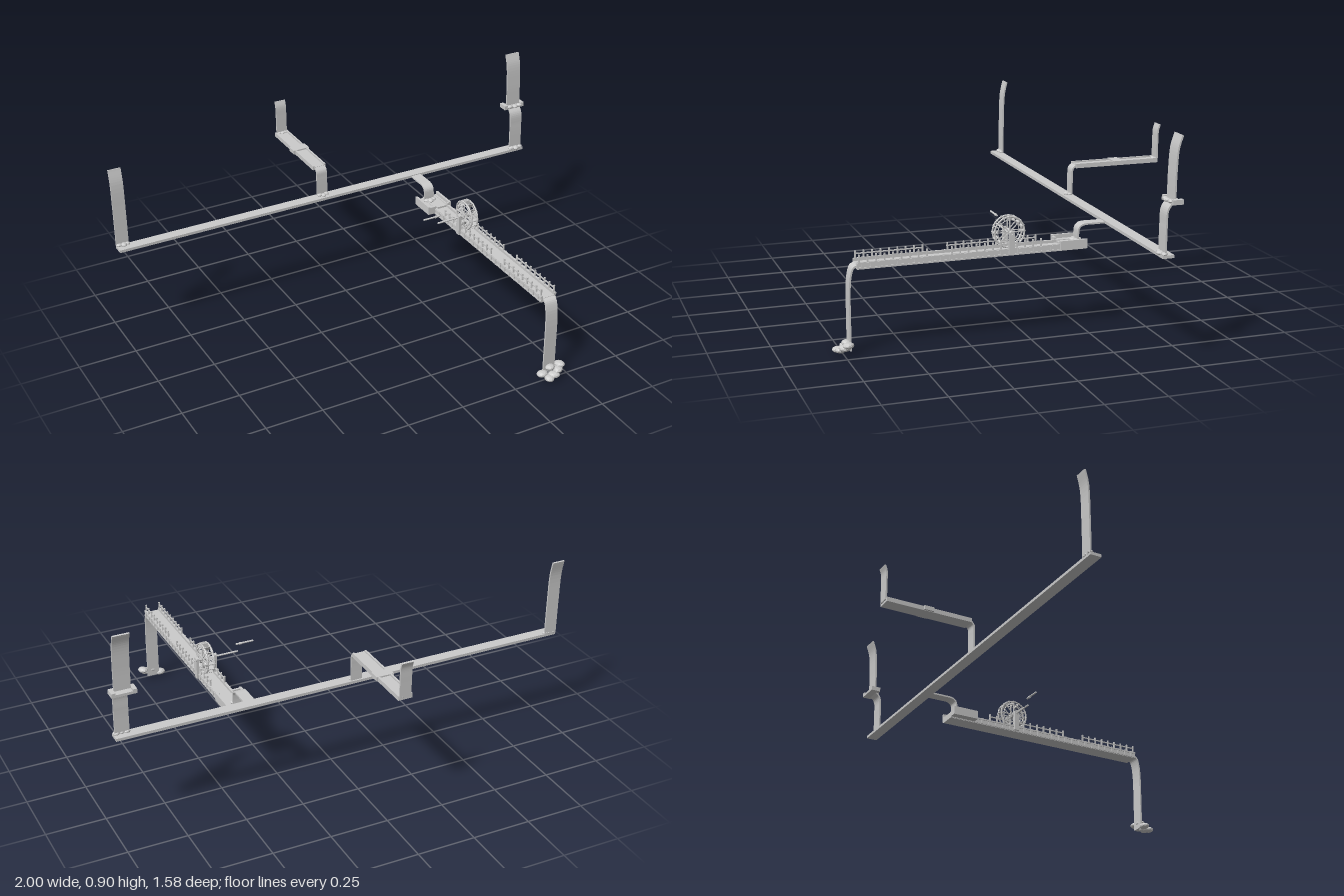
import * as THREE from 'three';

const mat = new THREE.MeshStandardMaterial({ color: 0xcccccc, flatShading: true, side: THREE.DoubleSide });

function add(parent, name, geometry, x = 0, y = 0, z = 0) {
  const mesh = new THREE.Mesh(geometry, mat);
  mesh.name = name;
  mesh.position.set(x, y, z);
  parent.add(mesh);
  return mesh;
}

// Box given by its limits on each axis
function slab(parent, name, x0, x1, y0, y1, z0, z1) {
  return add(parent, name, new THREE.BoxGeometry(x1 - x0, y1 - y0, z1 - z0),
    (x0 + x1) / 2, (y0 + y1) / 2, (z0 + z1) / 2);
}

// Sheet of water: a curve in the z-y plane, thickened and extruded along x
function sheet(parent, name, points, x0, x1, thickness = 0.007) {
  const curve = new THREE.CatmullRomCurve3(points.map(([z, y]) => new THREE.Vector3(0, y, z)), false, 'centripetal');
  const near = [], far = [];
  for (let i = 0; i <= 20; i++) {
    const p = curve.getPoint(i / 20), t = curve.getTangent(i / 20);
    const dz = -t.y * thickness / 2, dy = t.z * thickness / 2;
    near.push(new THREE.Vector2(-p.z - dz, p.y + dy));
    far.unshift(new THREE.Vector2(-p.z + dz, p.y - dy));
  }
  const geometry = new THREE.ExtrudeGeometry(new THREE.Shape([...near, ...far]), { depth: x1 - x0, bevelEnabled: false });
  geometry.rotateY(Math.PI / 2);
  return add(parent, name, geometry, x0);
}

// Cluster of flattened low-poly foam lumps: [x, y, z, radius]
function foam(parent, name, lumps) {
  const group = new THREE.Group();
  group.name = name;
  lumps.forEach(([x, y, z, r], i) => {
    const lump = add(group, 'foamLump', new THREE.IcosahedronGeometry(r, 1), x, y, z);
    lump.scale.set(1, 0.55, 0.85);
    lump.rotation.y = i * 1.3;
  });
  parent.add(group);
}

function group(parent, name) {
  const g = new THREE.Group();
  g.name = name;
  parent.add(g);
  return g;
}

function buildRiver(root) {
  const river = group(root, 'river');
  slab(river, 'mainStream', -1, 0.98, 0.435, 0.447, -0.387, -0.34);
  sheet(river, 'branchStream', [[-0.34, 0.44], [-0.29, 0.44], [-0.245, 0.438], [-0.229, 0.425], [-0.225, 0.4], [-0.225, 0.37]], 0.385, 0.432);

  // Falls feeding the river
  sheet(river, 'rightEndFall', [[-0.385, 0.445], [-0.387, 0.6], [-0.392, 0.73], [-0.405, 0.79]], -1, -0.945);
  sheet(river, 'leftUpperFall', [[-0.386, 0.655], [-0.388, 0.76], [-0.395, 0.85], [-0.41, 0.898]], 0.91, 0.978);
  sheet(river, 'leftLowerFall', [[-0.355, 0.445], [-0.356, 0.56], [-0.361, 0.62], [-0.385, 0.65]], 0.915, 0.975);
  slab(river, 'fallLedge', 0.893, 0.995, 0.641, 0.652, -0.412, -0.37);
  for (const [x0, x1] of [[0.893, 0.91], [0.978, 0.995]]) {
    slab(river, 'ledgeLip', x0, x1, 0.652, 0.66, -0.412, -0.37);
  }
  foam(river, 'ledgeFoam', [[0.92, 0.652, -0.372, 0.014], [0.945, 0.652, -0.368, 0.015], [0.97, 0.652, -0.372, 0.014]]);
  foam(river, 'leftFoam', [[0.925, 0.45, -0.352, 0.015], [0.945, 0.45, -0.346, 0.017], [0.968, 0.45, -0.352, 0.014]]);
  foam(river, 'rightFoam', [[-0.988, 0.45, -0.38, 0.013], [-0.968, 0.45, -0.376, 0.015], [-0.952, 0.45, -0.38, 0.012]]);
}

function buildUpperChannel(root) {
  const upper = group(root, 'upperChannel');
  slab(upper, 'channelFloor', -0.08, -0.018, 0.564, 0.571, -0.775, -0.395);
  for (const x of [-0.08, -0.026]) slab(upper, 'channelWall', x, x + 0.008, 0.571, 0.583, -0.775, -0.395);
  slab(upper, 'channelWater', -0.072, -0.026, 0.571, 0.577, -0.775, -0.395);
  for (const x of [-0.088, -0.02]) slab(upper, 'channelClamp', x, x + 0.008, 0.566, 0.582, -0.612, -0.568);
  slab(upper, 'channelBridge', -0.088, -0.012, 0.578, 0.584, -0.612, -0.568);
  sheet(upper, 'channelSourceFall', [[-0.775, 0.575], [-0.776, 0.66], [-0.778, 0.705], [-0.786, 0.73]], -0.072, -0.022);
  sheet(upper, 'channelOutletFall', [[-0.377, 0.445], [-0.378, 0.53], [-0.381, 0.56], [-0.395, 0.575]], -0.072, -0.022);
  foam(upper, 'channelFoam', [[-0.062, 0.45, -0.37, 0.012], [-0.046, 0.45, -0.362, 0.013], [-0.03, 0.45, -0.37, 0.012]]);
  foam(upper, 'sourceFoam', [[-0.06, 0.578, -0.77, 0.011], [-0.046, 0.578, -0.767, 0.012], [-0.032, 0.578, -0.77, 0.011]]);
}

function buildAqueduct(root) {
  const aqueduct = group(root, 'aqueduct');
  slab(aqueduct, 'aqueductFloor', 0.39, 0.46, 0.347, 0.355, -0.25, 0.695);
  slab(aqueduct, 'aqueductWater', 0.398, 0.452, 0.355, 0.365, -0.25, 0.695);
  for (const x of [0.39, 0.452]) {
    slab(aqueduct, 'aqueductWall', x, x + 0.008, 0.355, 0.376, -0.25, 0.695);
    const outer = x < 0.42 ? x - 0.003 : x + 0.008;
    for (const y of [0.349, 0.368]) slab(aqueduct, 'wallBeam', outer, outer + 0.003, y, y + 0.006, -0.25, 0.695);
    for (let z = -0.1; z < 0.69; z += 0.035) slab(aqueduct, 'wallBrace', outer - 0.001, outer + 0.004, 0.349, 0.376, z, z + 0.007);
    // Fences, with a gap between the two runs
    for (const [z0, z1, n] of [[0.412, 0.69, 9], [-0.06, 0.318, 12]]) {
      slab(aqueduct, 'fenceRail', x + 0.002, x + 0.006, 0.391, 0.396, z0, z1);
      for (let i = 0; i < n; i++) {
        const z = z0 + 0.004 + (z1 - z0 - 0.008) * i / (n - 1);
        slab(aqueduct, 'fencePost', x + 0.001, x + 0.007, 0.374, 0.405, z - 0.003, z + 0.003);
      }
    }
  }

  // Wide receiving basin under the branch fall
  slab(aqueduct, 'basinFloor', 0.355, 0.47, 0.352, 0.36, -0.25, -0.135);
  slab(aqueduct, 'basinWater', 0.363, 0.462, 0.36, 0.373, -0.25, -0.143);
  for (const x of [0.355, 0.46]) slab(aqueduct, 'basinWall', x, x + 0.01, 0.36, 0.389, -0.25, -0.135);
  for (const [x0, x1] of [[0.365, 0.394], [0.452, 0.46]]) slab(aqueduct, 'basinFrontWall', x0, x1, 0.36, 0.385, -0.145, -0.135);
  foam(aqueduct, 'basinFoam', [[0.394, 0.376, -0.217, 0.014], [0.41, 0.376, -0.21, 0.016], [0.426, 0.376, -0.217, 0.014]]);

  // Final fall with foam at its foot
  sheet(aqueduct, 'finalFall', [[0.69, 0.362], [0.708, 0.352], [0.718, 0.325], [0.724, 0.27], [0.725, 0.14], [0.725, 0.02]], 0.398, 0.453);
  foam(aqueduct, 'finalFoam', [[0.39, 0.025, 0.735, 0.025], [0.405, 0.017, 0.765, 0.024], [0.43, 0.024, 0.76, 0.026],
    [0.455, 0.036, 0.75, 0.025], [0.47, 0.05, 0.738, 0.024], [0.425, 0.048, 0.737, 0.022]]);
}

function buildWheel(root) {
  const wheel = group(root, 'waterWheel');
  wheel.position.set(0.424, 0.437, 0.07);
  const spin = group(wheel, 'wheelRotor');
  for (const x of [-0.014, 0.014]) {
    add(spin, 'wheelRim', new THREE.TorusGeometry(0.062, 0.004, 6, 28).rotateY(Math.PI / 2), x);
    add(spin, 'innerRim', new THREE.TorusGeometry(0.049, 0.002, 4, 28).rotateY(Math.PI / 2), x);
    for (let i = 0; i < 8; i++) {
      const a = i * Math.PI / 4;
      const spoke = add(spin, 'spoke', new THREE.BoxGeometry(0.004, 0.06, 0.004), x, Math.cos(a) * 0.031, Math.sin(a) * 0.031);
      spoke.rotation.x = a;
    }
  }
  for (let i = 0; i < 16; i++) {
    const a = i * Math.PI / 8;
    const paddle = add(spin, 'paddle', new THREE.BoxGeometry(0.032, 0.018, 0.003), 0, Math.cos(a) * 0.058, Math.sin(a) * 0.058);
    paddle.rotation.x = a;
  }
  const rod = (name, x0, x1, r, y = 0) =>
    add(wheel, name, new THREE.CylinderGeometry(r, r, x1 - x0, 10).rotateZ(Math.PI / 2), (x0 + x1) / 2, y);
  rod('hub', -0.02, 0.02, 0.01);
  rod('axle', -0.145, 0.052, 0.004, -0.004);
  rod('looseRod', -0.216, -0.138, 0.004, 0.03);
  rod('looseRodCollar', -0.16, -0.154, 0.006, 0.03);
  for (const x of [-0.04, 0.04]) {
    add(wheel, 'wheelSupport', new THREE.BoxGeometry(0.012, 0.09, 0.022), x, -0.04);
    add(wheel, 'bearing', new THREE.CylinderGeometry(0.011, 0.011, 0.014, 10).rotateZ(Math.PI / 2), x);
  }
}

export function createModel() {
  const root = new THREE.Group();
  root.name = 'waterCourse';
  buildRiver(root);
  buildUpperChannel(root);
  buildAqueduct(root);
  buildWheel(root);
  return root;
}
